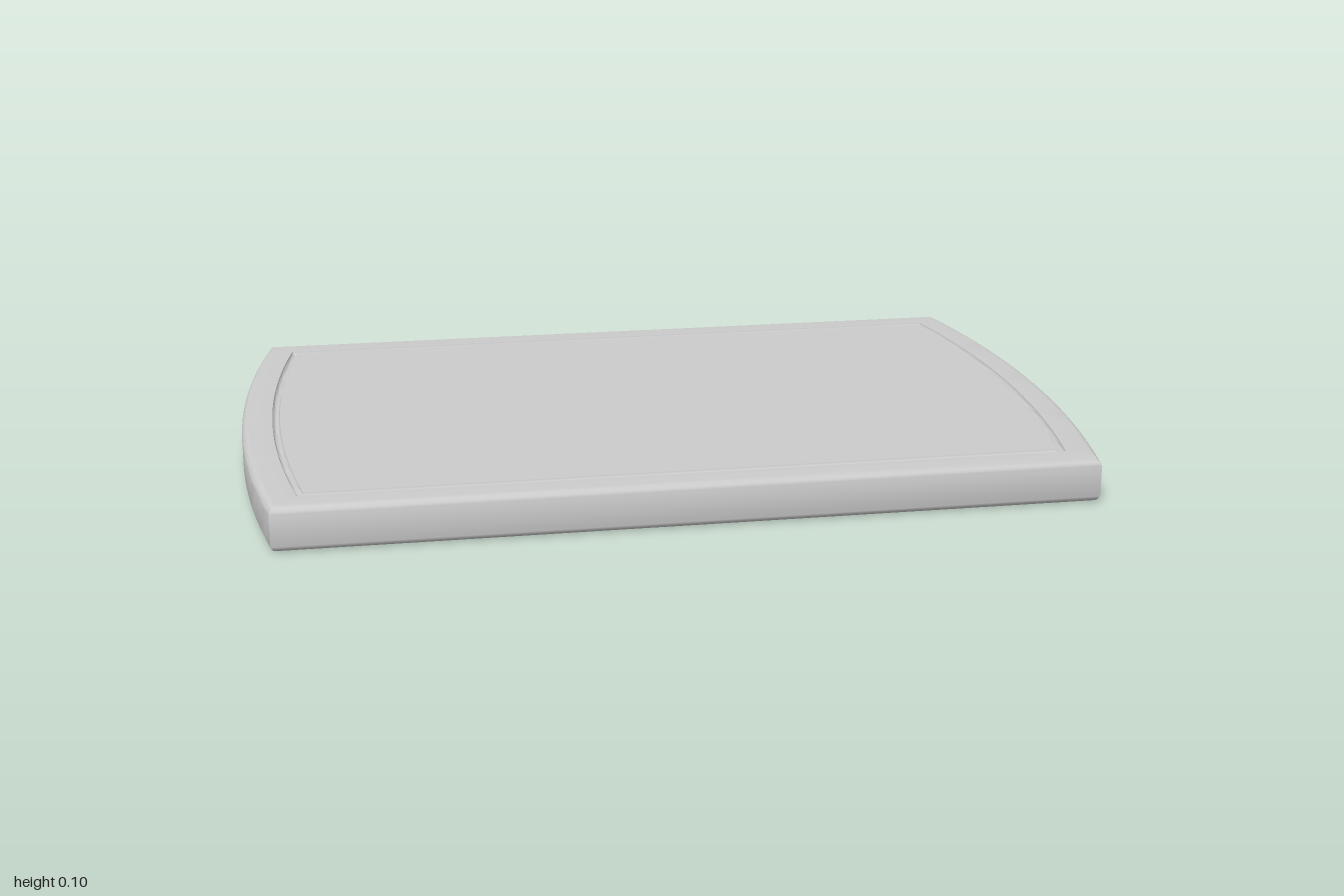
import * as THREE from 'three';
import { toCreasedNormals } from 'three/addons/utils/BufferGeometryUtils.js';

const HEIGHT = 0.103, HALF_DEPTH = 0.643, END_RADIUS = 3.21, ARC_STEPS = 24;

// Board outline moved inwards by d: straight front and back, bowed ends.
function outline(d, y) {
  const h = HALF_DEPTH - d, r = END_RADIUS - d, points = [];
  for (const side of [1, -1]) {
    for (let i = 0; i <= ARC_STEPS; i++) {
      const angle = Math.asin(h / r) * (2 * i / ARC_STEPS - 1);
      const x = 1 - END_RADIUS + r * Math.cos(angle);
      points.push(new THREE.Vector3(side * x, y, -side * r * Math.sin(angle)));
    }
  }
  return points;
}

// Circular piece of the edge profile as [inset, height] pairs.
function arc(cx, cy, r, from, to, steps) {
  return Array.from({ length: steps + 1 }, (_, i) => {
    const a = from + (to - from) * i / steps;
    return [cx + r * Math.cos(a), cy + r * Math.sin(a)];
  });
}

// Skin consecutive rings, leaving out collapsed triangles.
function loft(rings) {
  const positions = [];
  const triangle = (a, b, c) => {
    if (a.distanceTo(b) < 1e-6 || b.distanceTo(c) < 1e-6 || c.distanceTo(a) < 1e-6) return;
    for (const p of [a, b, c]) positions.push(p.x, p.y, p.z);
  };
  for (let i = 0; i < rings.length - 1; i++) {
    const low = rings[i], high = rings[i + 1], n = low.length;
    for (let j = 0; j < n; j++) {
      const k = (j + 1) % n;
      triangle(low[j], low[k], high[k]);
      triangle(low[j], high[k], high[j]);
    }
  }
  const geometry = new THREE.BufferGeometry();
  geometry.setAttribute('position', new THREE.Float32BufferAttribute(positions, 3));
  return toCreasedNormals(geometry, THREE.MathUtils.degToRad(40));
}

export function createModel() {
  const group = new THREE.Group();
  group.name = 'cuttingBoard';

  const bevel = 0.02, grooveRadius = 0.009;
  const profile = [
    // Rounded lower and upper edges
    ...arc(bevel, bevel, bevel, 1.5 * Math.PI, Math.PI, 6),
    ...arc(bevel, HEIGHT - bevel, bevel, Math.PI, Math.PI / 2, 6),
    // Juice groove
    ...arc(0.082, HEIGHT, grooveRadius, Math.PI, 2 * Math.PI, 6),
  ];
  const rings = profile.map(([d, y]) => outline(d, y));

  // Close the flat underside and the cutting surface
  const centre = y => rings[0].map(() => new THREE.Vector3(0, y, 0));
  rings.unshift(centre(0));
  rings.push(centre(HEIGHT));

  const board = new THREE.Mesh(loft(rings), new THREE.MeshStandardMaterial({ color: 0xcccccc }));
  board.name = 'boardWithGroove';
  group.add(board);
  return group;
}
